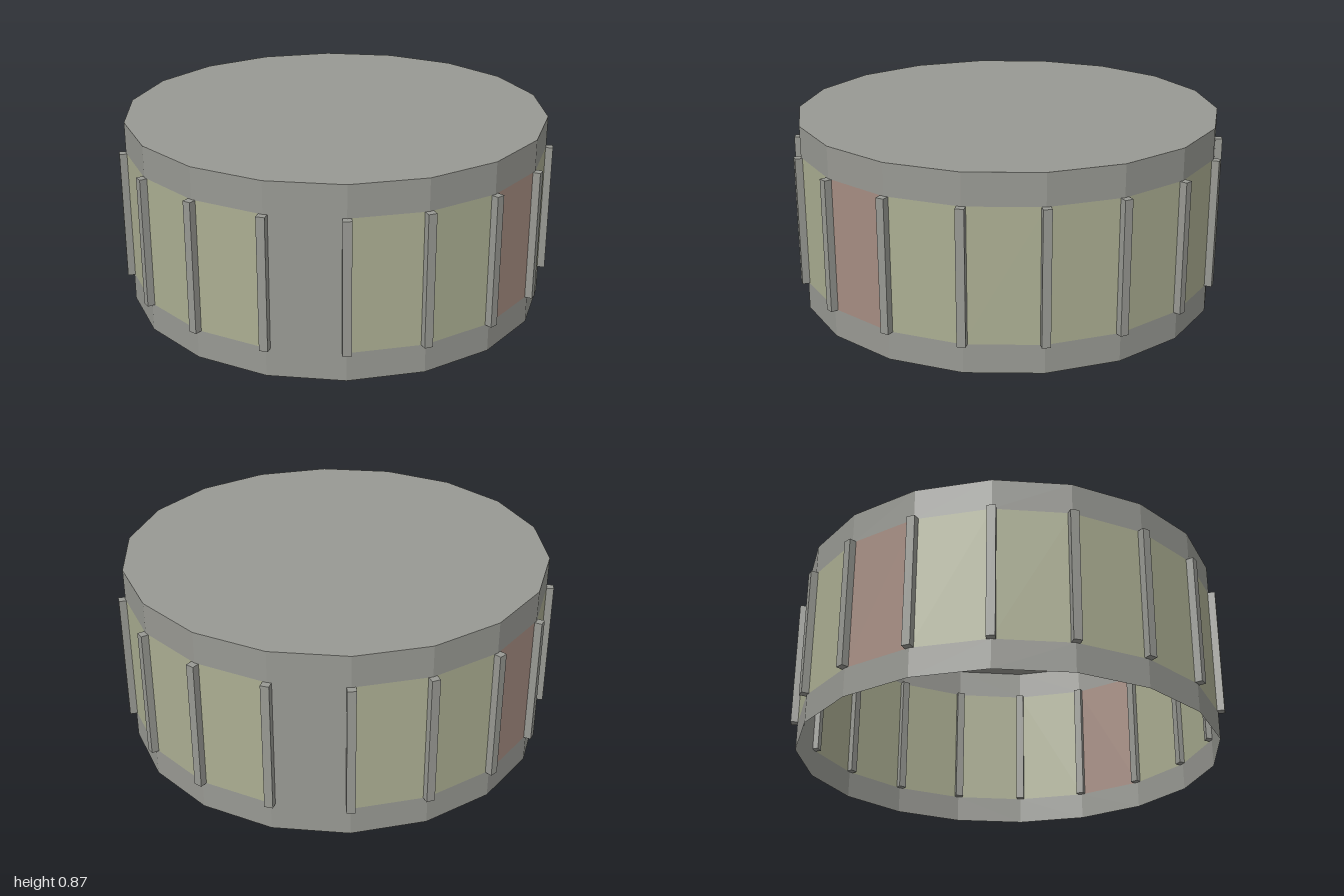
import * as THREE from 'three';

const SIDES = 18, R = 0.97, HEIGHT = 0.873;
const LOW = 0.13, HIGH = 0.73; // panel band
const STEP = (Math.PI * 2) / SIDES;

const flat = (name, color) =>
  new THREE.MeshStandardMaterial({ name, color, flatShading: true, side: THREE.DoubleSide });

export function createModel() {
  const grey = flat('grey', 0x989993);
  const green = flat('paleGreen', 0xabae92);
  const red = flat('dullRed', 0xa68d82);
  const model = new THREE.Group();
  model.name = 'drum';

  const add = (name, geometry, material) => {
    const mesh = new THREE.Mesh(geometry, material);
    mesh.name = name;
    model.add(mesh);
    return mesh;
  };

  // Plain open rings below and above the panels
  const ring = (name, y0, y1) => {
    const geometry = new THREE.CylinderGeometry(R, R, y1 - y0, SIDES, 1, true, STEP / 2);
    add(name, geometry, grey).position.y = (y0 + y1) / 2;
  };
  ring('lowerRing', 0, LOW);
  ring('upperRing', HIGH, HEIGHT);

  // Flat lid; the underside stays open
  const lid = add('lid', new THREE.CircleGeometry(R, SIDES).rotateX(-Math.PI / 2), grey);
  lid.position.y = HEIGHT;

  // One panel per side and one upright rib per corner
  const midY = (LOW + HIGH) / 2;
  const panel = new THREE.PlaneGeometry(2 * R * Math.sin(STEP / 2), HIGH - LOW);
  const rib = new THREE.BoxGeometry(0.038, HIGH - LOW, 0.06);
  const place = (mesh, angle, radius) => {
    mesh.position.set(radius * Math.cos(angle), midY, radius * Math.sin(angle));
    mesh.rotation.y = Math.PI / 2 - angle;
  };
  for (let i = 0; i < SIDES; i++) {
    // The pattern repeats after half a turn: one red door and one blank wall in each half
    const k = i % (SIDES / 2);
    const [name, material] =
      k === 2 ? ['redPanel', red] : k === 5 ? ['blankPanel', grey] : ['greenPanel', green];
    place(add(name, panel, material), (i + 0.5) * STEP, R * Math.cos(STEP / 2));
    place(add('rib', rib, grey), i * STEP, R);
  }
  return model;
}
